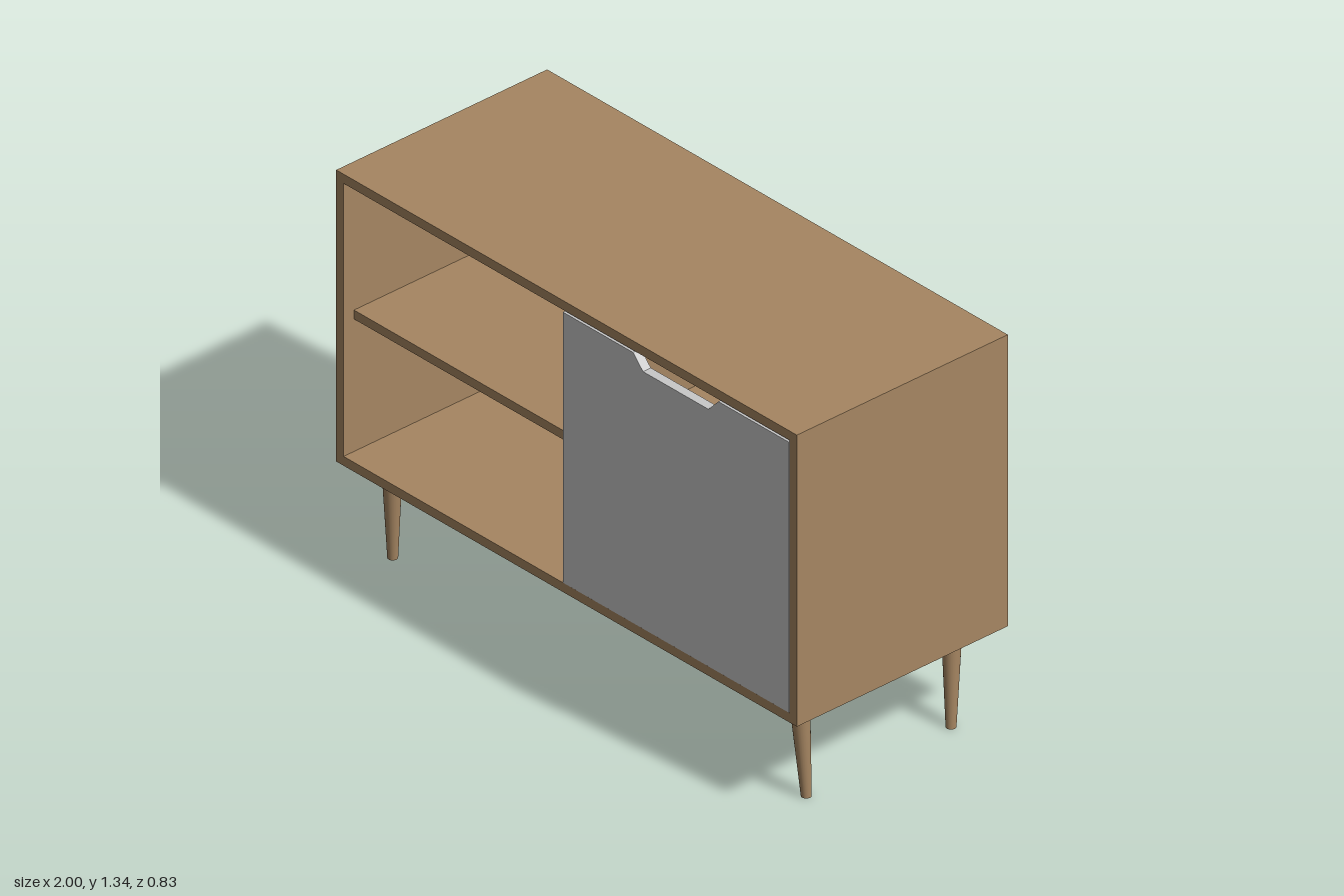
import * as THREE from 'three';

const WALL = 0.032, BOTTOM = 0.337, TOP = 1.337, DEPTH = 0.417;
const FLOOR = BOTTOM + WALL, CEILING = TOP - WALL, INNER_X = 1 - WALL;
const BACK = -DEPTH + WALL; // inner face of the back panel

const polygon = (points, Type = THREE.Shape) => new Type(points.map(([x, y]) => new THREE.Vector2(x, y)));

const rectangle = (x0, x1, y0, y1) => [[x0, y0], [x1, y0], [x1, y1], [x0, y1]];

// Flat profile in x/y, extruded between two depths
function slab(name, shape, z0, z1, material) {
  const geometry = new THREE.ExtrudeGeometry(shape, { depth: z1 - z0, bevelEnabled: false });
  geometry.translate(0, 0, z0);
  const mesh = new THREE.Mesh(geometry, material);
  mesh.name = name;
  return mesh;
}

export function createModel() {
  const wood = new THREE.MeshStandardMaterial({ color: 0xa68662 });
  wood.name = 'wood';
  const paint = new THREE.MeshStandardMaterial({ color: 0xc9c9c9 });
  paint.name = 'pale grey paint';

  const model = new THREE.Group();
  model.name = 'sideboard';

  // Cabinet shell: open frame closed by a back panel
  const frame = polygon(rectangle(-1, 1, BOTTOM, TOP));
  frame.holes.push(polygon(rectangle(-INNER_X, INNER_X, FLOOR, CEILING), THREE.Path));
  model.add(slab('cabinetFrame', frame, -DEPTH, DEPTH - 0.001, wood));
  model.add(slab('backPanel', polygon(rectangle(-INNER_X, INNER_X, FLOOR, CEILING)), -DEPTH, BACK, wood));

  // Central divider with a shelf on each side
  const half = WALL / 2;
  model.add(slab('divider', polygon(rectangle(-half + 0.002, half, FLOOR, CEILING)), BACK, 0.38, wood));
  model.add(slab('leftShelf', polygon(rectangle(half, INNER_X, 0.823, 0.854)), BACK, 0.375, wood));
  model.add(slab('rightShelf', polygon(rectangle(-INNER_X, -half + 0.002, 0.823, 0.854)), BACK, 0.375, wood));

  // Door with a tapered hand notch in its top edge
  const doorTop = 1.298;
  const door = polygon([
    [-0.015, FLOOR + 0.001], [0.965, FLOOR + 0.001], [0.965, doorTop], [0.66, doorTop],
    [0.617, 1.252], [0.333, 1.252], [0.29, doorTop], [-0.015, doorTop],
  ]);
  model.add(slab('door', door, 0.386, DEPTH, paint));

  // Tapered legs, leaning slightly from top to foot
  for (const sx of [-1, 1]) {
    for (const sz of [-1, 1]) {
      const geometry = new THREE.CylinderGeometry(0.032, 0.016, BOTTOM, 24);
      geometry.applyMatrix4(new THREE.Matrix4().set(
        1, -sx * 0.04, 0, sx * 0.891,
        0, 1, 0, BOTTOM / 2,
        0, sz * 0.045, 1, sz * 0.2935,
        0, 0, 0, 1,
      ));
      const leg = new THREE.Mesh(geometry, wood);
      leg.name = (sz > 0 ? 'front' : 'back') + (sx > 0 ? 'Left' : 'Right') + 'Leg';
      model.add(leg);
    }
  }
  return model;
}
